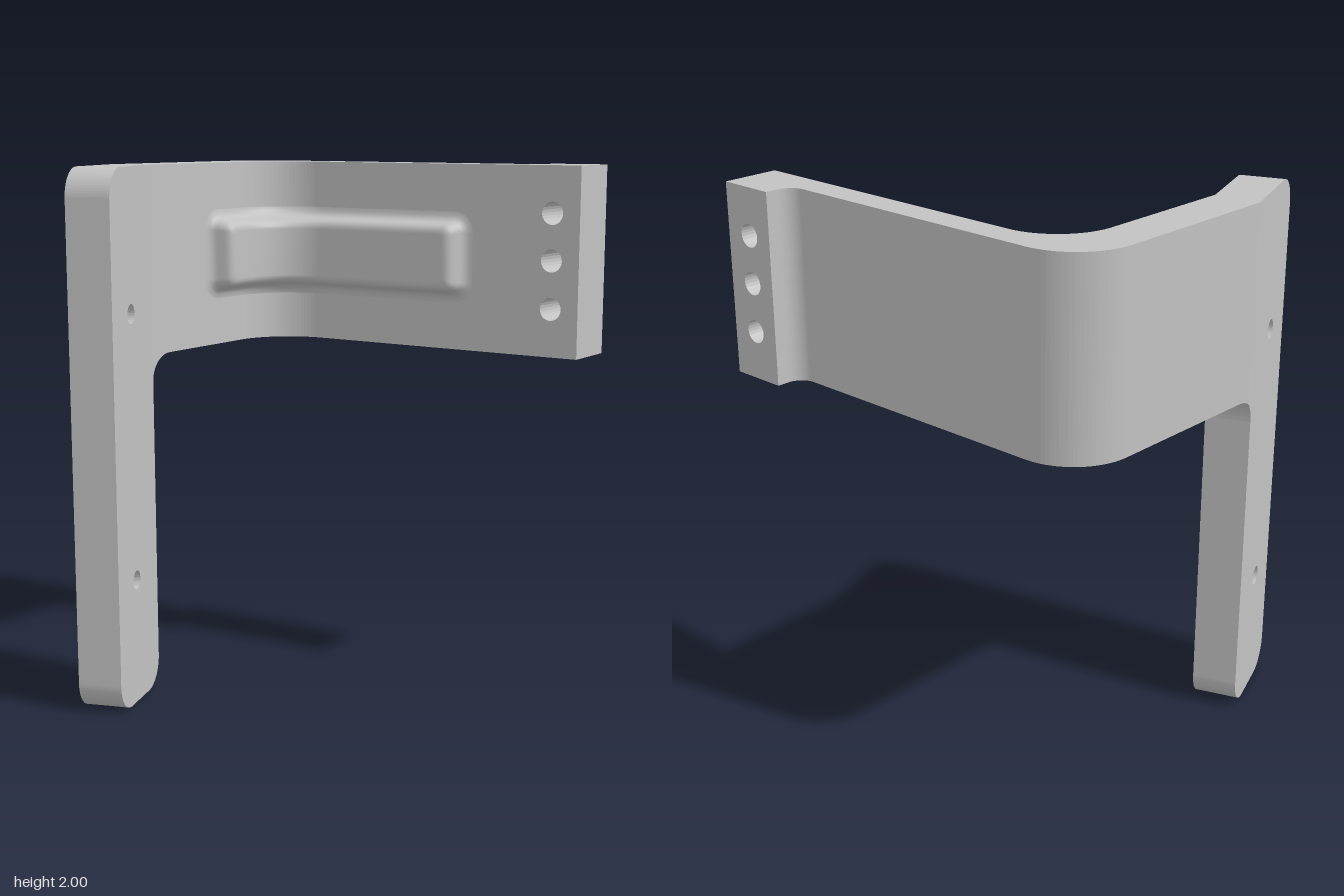
import * as THREE from 'three';

const TILT = THREE.MathUtils.degToRad(20);
const SIN = Math.sin(TILT), COS = Math.cos(TILT);
const BAND_Y = 1.29;                       // underside of the upper band
const JOINT = { x: -0.603, z: 0.285 };     // inner corner where the leg bends away
const LEG_T = 0.167, LEG_W = 0.4;

const metal = new THREE.MeshStandardMaterial({ color: 0xc2c2c2 });
metal.name = 'grey metal';

function part(name, geometry) {
  const mesh = new THREE.Mesh(geometry, metal);
  mesh.name = name;
  return mesh;
}

function extrude(shape, depth) {
  return new THREE.ExtrudeGeometry(shape, { depth, bevelEnabled: false, curveSegments: 12 });
}

function hole(shape, x, y, r) {
  shape.holes.push(new THREE.Path().absarc(x, y, r, 0, Math.PI * 2, true));
}

function surface(positions, index) {
  const g = new THREE.BufferGeometry();
  g.setAttribute('position', new THREE.Float32BufferAttribute(positions, 3));
  if (index) g.setIndex(index);
  g.computeVertexNormals();
  return g;
}

// Upper band: plan outline (x, -z) raised from BAND_Y to the top
function makeBand() {
  const s = new THREE.Shape();
  s.moveTo(JOINT.x, -JOINT.z);
  s.lineTo(JOINT.x, 0.27);
  s.absarc(-0.373, 0.27, 0.23, Math.PI, Math.PI / 2, true);
  s.lineTo(0.555, 0.5);
  s.lineTo(0.555, 0.675);
  s.absarc(0.49, 0.675, 0.065, 0, -Math.PI / 2, true);
  s.lineTo(-0.545, 0.61);
  s.absarc(-0.545, 0.38, 0.23, Math.PI / 2, Math.PI, false);
  s.lineTo(-0.775, -0.301);
  s.lineTo(JOINT.x - LEG_T * COS, -(JOINT.z + LEG_T * SIN));
  const g = extrude(s, 2 - BAND_Y);
  g.rotateX(-Math.PI / 2);
  g.translate(0, BAND_Y, 0);
  return part('upperBand', g);
}

// Thick end block with three through holes
function makeEndBlock() {
  const s = new THREE.Shape();
  s.moveTo(0.555, BAND_Y);
  s.lineTo(0.775, BAND_Y);
  s.lineTo(0.775, 2);
  s.lineTo(0.555, 2);
  for (const y of [1.47, 1.65, 1.825]) hole(s, 0.663, y, 0.043);
  const g = extrude(s, 0.22);
  g.translate(0, 0, -0.72);
  return part('endBlock', g);
}

// Long leg, turned inwards, with rounded corners and two screw holes
function makeLeg() {
  const r = 0.11, w = LEG_W;
  const s = new THREE.Shape();
  s.moveTo(0, 2);
  s.lineTo(0, r);
  s.absarc(r, r, r, Math.PI, Math.PI * 1.5, false);
  s.lineTo(w - r, 0);
  s.absarc(w - r, r, r, -Math.PI / 2, 0, false);
  s.lineTo(w, 2 - r);
  s.absarc(w - r, 2 - r, r, 0, Math.PI / 2, false);
  for (const y of [0.47, 1.47]) hole(s, 0.217, y, 0.036);
  const leg = part('leg', extrude(s, LEG_T));
  leg.rotation.y = TILT - Math.PI / 2;
  leg.position.set(JOINT.x, 0, JOINT.z);
  return leg;
}

// Concave web filling the corner between the leg and the band underside
function makeWeb() {
  const r = 0.1, steps = 10, p = [];
  const sections = [];
  for (let i = 0; i <= steps; i++) {
    const a = (i / steps) * Math.PI / 2;
    const d = r * (1 - Math.cos(a));
    const y = BAND_Y - r + r * Math.sin(a);
    const k = Math.min((0.775 + JOINT.x) / COS, LEG_T + d * SIN);
    const z = JOINT.z - d;
    sections.push({
      inLow: [JOINT.x, y, z], inTop: [JOINT.x, BAND_Y, z],
      outLow: [JOINT.x - k * COS, y, z + k * SIN], outTop: [JOINT.x - k * COS, BAND_Y, z + k * SIN],
    });
  }
  const quad = (a, b, c, d) => p.push(...a, ...b, ...c, ...a, ...c, ...d);
  for (let i = 0; i < steps; i++) {
    const a = sections[i], b = sections[i + 1];
    quad(a.inLow, b.inLow, b.inTop, a.inTop);
    quad(b.outLow, a.outLow, a.outTop, b.outTop);
    quad(a.inLow, a.outLow, b.outLow, b.inLow);
  }
  return part('cornerWeb', surface(p));
}

// Raised rib wrapped round the inside corner
const RIB = { x: 0.29, cx: -0.298, cz: -0.195, crest: 0.215, wall: 0.305, arc: 0.39, tail: 0.115 };

// Point at distance u along the rib, height y, f = 0 on the wall to 1 on the crest
function ribPoint(u, y, f) {
  const run = RIB.x - RIB.cx;
  const along = THREE.MathUtils.clamp((u - run) / RIB.arc, 0, 1);
  const a = along * Math.PI / 2, dx = -Math.sin(a), dz = -Math.cos(a);
  const q = 0.075, R = 0.23;
  let wall;
  if (-dx / -dz < q / RIB.wall) wall = RIB.wall / -dz;
  else if (-dz / -dx < q / RIB.wall) wall = RIB.wall / -dx;
  else {
    const m = -(dx + dz) * q;
    wall = m + Math.sqrt(m * m - 2 * q * q + R * R);
  }
  const t = THREE.MathUtils.lerp(wall, RIB.crest, f);
  return [
    RIB.cx + Math.max(0, run - u) + dx * t,
    y,
    RIB.cz + Math.max(0, u - run - RIB.arc) + dz * t,
  ];
}

function makeRib() {
  // rings: outward offset, corner radius, height fraction
  const rings = [
    [0.04, 0.08, 0], [0.024, 0.064, 0.03], [0.011, 0.051, 0.12], [0.003, 0.043, 0.25], [0, 0.04, 0.38],
    [-0.007, 0.036, 0.66], [-0.011, 0.034, 0.8], [-0.019, 0.03, 0.91], [-0.03, 0.025, 0.98], [-0.043, 0.02, 1],
  ];
  const length = RIB.x - RIB.cx + RIB.arc + RIB.tail;
  const low = 1.51, high = 1.78, corner = 6, straight = 56;
  const p = [], index = [];
  let n = 0;
  for (const [e, r, f] of rings) {
    const u0 = -e, u1 = length + e, v = high + e;
    const top = [];
    for (let i = 0; i <= corner; i++) {
      const a = (i / corner) * Math.PI / 2;
      top.push([u0 + r - r * Math.cos(a), v - r + r * Math.sin(a)]);
    }
    for (let i = 1; i < straight; i++) top.push([THREE.MathUtils.lerp(u0 + r, u1 - r, i / straight), v]);
    for (let i = 0; i <= corner; i++) {
      const a = (i / corner) * Math.PI / 2;
      top.push([u1 - r + r * Math.sin(a), v - r + r * Math.cos(a)]);
    }
    const bottom = top.map(([u, y]) => [u, low + high - y]).reverse();
    for (const [u, y] of [...top, ...bottom]) p.push(...ribPoint(u, y, f));
    n = top.length;
  }
  const loop = 2 * n;
  const quad = (a, b, c, d) => index.push(a, b, c, a, c, d);
  for (let k = 0; k < rings.length - 1; k++) {
    for (let j = 0; j < loop; j++) {
      const j2 = (j + 1) % loop, a = k * loop, b = a + loop;
      quad(a + j, a + j2, b + j2, b + j);
    }
  }
  // crest face
  const base = (rings.length - 1) * loop;
  for (let j = 0; j < n - 1; j++) {
    quad(base + j, base + j + 1, base + loop - 2 - j, base + loop - 1 - j);
  }
  return part('stiffeningRib', surface(p, index));
}

export function createModel() {
  const model = new THREE.Group();
  model.name = 'angleBracket';
  model.add(makeBand(), makeEndBlock(), makeLeg(), makeWeb(), makeRib());
  return model;
}
